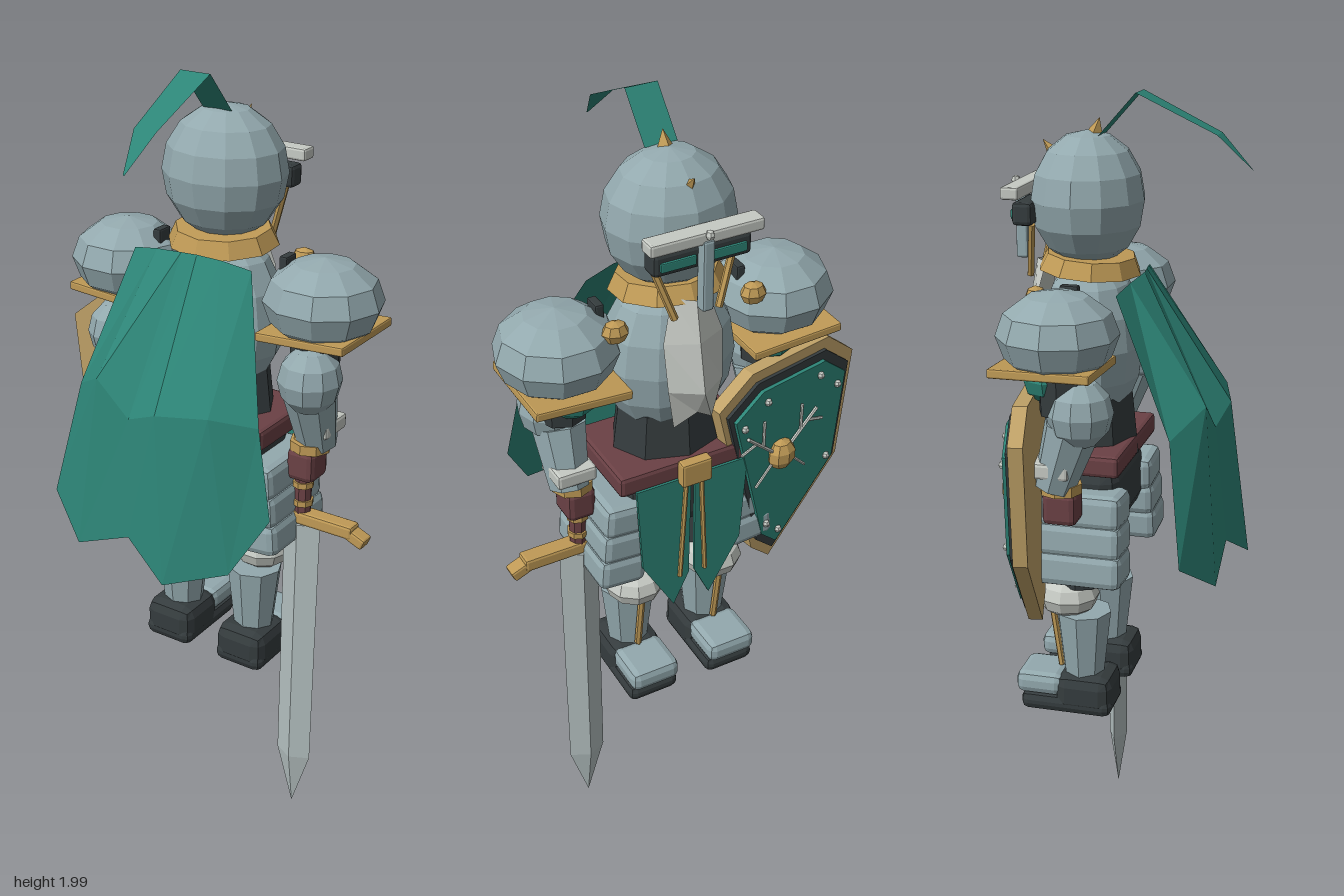
import * as THREE from 'three';
import { RoundedBoxGeometry } from 'three/addons/geometries/RoundedBoxGeometry.js';

const C = { steel: 0x93a9ae, gold: 0xbf9a56, dark: 0x353c3e, maroon: 0x6b4145, teal: 0x2d8577, pale: 0xc6cac4, blade: 0xb3bfbf, tan: 0xc0a268 };
const CX = 0.025, CZ = -0.1;

export function createModel() {
  const model = new THREE.Group();
  model.name = 'knight';

  const mats = {};
  const mat = (c, thin) => (mats[c + thin] ??= new THREE.MeshStandardMaterial({
    color: C[c], flatShading: true, side: thin ? THREE.DoubleSide : THREE.FrontSide }));
  const add = (name, geo, color, pos = [0, 0, 0], rot = [0, 0, 0], parent = model, thin = false) => {
    const m = new THREE.Mesh(geo, mat(color, thin));
    m.name = name;
    m.position.set(...pos);
    m.rotation.set(...rot);
    parent.add(m);
    return m;
  };
  const box = (w, h, d, r = Math.min(w, h, d) * 0.2) => new RoundedBoxGeometry(w, h, d, 1, r);
  const ball = (rx, ry, rz, n = 10, m = 6) => new THREE.SphereGeometry(1, n, m).scale(rx, ry, rz);
  const cyl = (r1, r2, h, n = 8) => new THREE.CylinderGeometry(r1, r2, h, n);
  // Thin rod between two points
  const rod = (name, a, b, r, color, parent = model) => {
    const va = new THREE.Vector3(...a), vb = new THREE.Vector3(...b), d = vb.clone().sub(va);
    const m = add(name, cyl(r, r, d.length(), 6), color, va.clone().add(vb).multiplyScalar(0.5).toArray(), [0, 0, 0], parent);
    m.quaternion.setFromUnitVectors(new THREE.Vector3(0, 1, 0), d.normalize());
  };
  // Folded sheet from rows of points
  const sheet = (rows) => {
    const n = rows[0].length, idx = [];
    for (let i = 0; i < rows.length - 1; i++)
      for (let j = 0; j < n - 1; j++) {
        const a = i * n + j, b = a + n;
        idx.push(a, b, a + 1, b, b + 1, a + 1);
      }
    const g = new THREE.BufferGeometry();
    g.setAttribute('position', new THREE.Float32BufferAttribute(rows.flat(2), 3));
    g.setIndex(idx);
    g.computeVertexNormals();
    return g;
  };
  const poly = (pts) => new THREE.Shape(pts.map((p) => new THREE.Vector2(...p)));
  const slab = (pts, depth) => new THREE.ExtrudeGeometry(poly(pts), { depth, bevelEnabled: false });

  // Helmet, crest and collar
  add('helmet', ball(0.155, 0.16, 0.138, 12, 8), 'steel', [CX, 1.75, CZ - 0.005]);
  add('crestSocket', new THREE.ConeGeometry(0.03, 0.06, 4), 'gold', [CX, 1.91, -0.085], [0.3, 0, 0]);
  add('browOrnament', new THREE.ConeGeometry(0.02, 0.05, 4), 'gold', [CX, 1.865, -0.2], [-0.7, 0, 0]);
  const plume = [[-0.07, 1.9, 0.04], [0.02, 2, 0.04], [0.21, 1.91, 0.03], [0.29, 1.83, 0.002]];
  add('plume', sheet(plume.map(([z, y, w]) => [[CX - w, y, z], [CX + w, y, z]])), 'teal', [0, 0, 0], [0, 0, 0], model, true);
  add('collar', cyl(0.12, 0.14, 0.04, 10).scale(1, 1, 0.9), 'gold', [CX, 1.6, CZ], [0.08, 0, 0]);

  // Visor
  add('visorBar', box(0.275, 0.03, 0.045), 'pale', [CX, 1.775, -0.258]);
  add('visorSlot', box(0.24, 0.055, 0.05), 'dark', [CX, 1.725, -0.235]);
  add('nosePiece', box(0.028, 0.17, 0.03), 'steel', [CX, 1.685, -0.27]);
  add('visorRivet', ball(0.01, 0.012, 0.012, 6, 4), 'pale', [CX, 1.785, -0.285]);
  for (const s of [-1, 1]) {
    add('lens', box(0.085, 0.022, 0.012), 'teal', [CX + s * 0.062, 1.722, -0.26]);
    rod('visorTrim', [CX + s * 0.1, 1.7, -0.215], [CX + s * 0.055, 1.57, -0.235], 0.009, 'gold');
  }

  // Torso and belt
  add('breastplate', ball(0.165, 0.21, 0.13, 12, 8), 'steel', [CX, 1.4, CZ]);
  add('waist', cyl(0.13, 0.15, 0.16, 8).scale(1, 1, 0.8), 'dark', [CX, 1.2, CZ]);
  add('throatGuard', sheet([[1.6, 0.045, -0.2, -0.235], [1.5, 0.075, -0.22, -0.255], [1.38, 0.07, -0.235, -0.28], [1.27, 0.05, -0.225, -0.245]]
    .map(([y, w, ze, zc]) => [[CX - w, y, ze], [CX, y + (y < 1.3 ? 0.04 : 0), zc], [CX + w, y, ze]])), 'pale', [0, 0, 0], [0, 0, 0], model, true);
  add('belt', box(0.38, 0.055, 0.245), 'maroon', [CX, 1.14, CZ - 0.005]);
  add('buckle', box(0.08, 0.065, 0.03), 'gold', [CX, 1.14, -0.24]);
  add('hips', box(0.3, 0.18, 0.2, 0.04), 'dark', [CX, 1.03, CZ]);

  // Cape with pleats
  add('cape', sheet([
    [[-0.155, 1.56, 0.01], [-0.08, 1.575, 0.025], [0, 1.585, 0.04], [0.04, 1.585, 0.035], [0.1, 1.58, 0.025], [0.175, 1.565, 0.01]],
    [[-0.22, 1.24, 0.155], [-0.12, 1.3, 0.22], [-0.025, 1.22, 0.225], [0.065, 1.26, 0.245], [0.19, 1.27, 0.21], [0.29, 1.25, 0.15]],
    [[-0.28, 0.945, 0.195], [-0.16, 0.86, 0.26], [-0.01, 0.92, 0.255], [0.115, 0.845, 0.29], [0.26, 0.89, 0.225], [0.335, 1.03, 0.165]],
  ]), 'teal', [0, 0, 0], [0, 0, 0], model, true);

  for (const s of [-1, 1]) {
    const at = (d, y, z) => [CX + s * d, y, z];
    // Shoulder
    add('pauldron', ball(0.145, 0.105, 0.143, 10, 6), 'steel', at(0.28, 1.487, CZ));
    add('pauldronPlate', box(0.235, 0.022, 0.24), 'gold', at(0.275, 1.41, CZ - 0.015), [0, 0, s * 0.06]);
    add('shoulderStrap', box(0.022, 0.06, 0.045), 'dark', at(0.18, 1.55, CZ));
    add('shoulderStud', ball(0.033, 0.028, 0.026, 8, 4), 'gold', at(0.175, 1.545, -0.185));
    // Arm
    add('upperArm', cyl(0.065, 0.06, 0.14), 'dark', at(0.27, 1.37, -0.09));
    add('sleeve', ball(0.068, 0.06, 0.07, 8, 6), 'teal', at(0.26, 1.38, -0.125));
    add('elbow', ball(0.078, 0.085, 0.08, 10, 6), 'steel', at(0.28, 1.305, -0.05));
    add('forearm', cyl(0.068, 0.05, 0.16), 'steel', at(0.27, 1.19, -0.095), [0.3, 0, 0]);
    add('cuff', box(0.1, 0.04, 0.1), 'pale', at(0.27, 1.165, -0.12));
    add('wristBand', cyl(0.052, 0.052, 0.025), 'gold', at(0.258, 1.11, -0.105));
    add('glove', box(0.075, 0.085, 0.085), 'maroon', at(0.25, 1.06, -0.105));
    // Hip plates
    for (let i = 0; i < 3; i++)
      add('hipPlate', box(0.125, 0.088, 0.245 + i * 0.006, 0.02), 'steel', at(0.16 + i * 0.01, 1.025 - i * 0.073, -0.095), [0, 0, s * 0.08]);
    // Tabard flap with gold trim
    const flap = [[0.005, 1.12], [0.15, 1.12], [0.135, 0.88], [0.05, 0.73], [0.008, 0.82]].map(([x, y]) => [s * x, y]);
    add('tabard', slab(flap, 0.008), 'teal', [CX, 0, -0.232], [0, 0, 0], model, true);
    rod('tabardTrim', at(0.02, 1.12, -0.236), at(0.035, 0.82, -0.236), 0.006, 'gold');
    // Leg
    add('thigh', cyl(0.07, 0.058, 0.2), 'dark', at(0.112, 0.9, CZ));
    add('knee', ball(0.078, 0.058, 0.08, 10, 6), 'pale', at(0.112, 0.765, -0.135));
    add('greave', cyl(0.072, 0.052, 0.18), 'steel', at(0.112, 0.635, CZ + 0.005));
    rod('greaveRidge', at(0.112, 0.72, -0.177), at(0.112, 0.56, -0.155), 0.009, 'gold');
    // Boot
    add('boot', box(0.142, 0.105, 0.15, 0.03), 'dark', at(0.112, 0.505, -0.085));
    add('sole', box(0.14, 0.05, 0.24, 0.02), 'dark', at(0.112, 0.475, -0.13));
    add('toeCap', box(0.135, 0.06, 0.125, 0.02), 'steel', at(0.112, 0.525, -0.2));
  }

  // Sword, point down
  const sword = new THREE.Group();
  sword.name = 'sword';
  sword.position.set(0.27, 0, CZ);
  model.add(sword);
  const blade = cyl(0.052, 0.05, 0.72, 4).scale(1, 1, 0.5);
  add('blade', blade, 'blade', [0, 0.53, 0], [0, 0, 0], sword);
  add('bladeTip', cyl(0.05, 0.001, 0.162, 4).scale(1, 1, 0.5), 'blade', [0, 0.09, 0], [0, 0, 0], sword);
  add('guard', box(0.3, 0.035, 0.045), 'gold', [0, 0.908, 0], [0, 0, 0], sword);
  for (const s of [-1, 1])
    add('guardTip', box(0.055, 0.03, 0.04), 'gold', [s * 0.157, 0.895, 0], [0, 0, -s * 0.4], sword);
  add('grip', cyl(0.022, 0.022, 0.14), 'maroon', [0, 0.97, 0], [0, 0, 0], sword);
  for (const y of [0.95, 1.0]) add('gripRing', cyl(0.027, 0.027, 0.015), 'gold', [0, y, 0], [0, 0, 0], sword);
  add('pommel', ball(0.03, 0.03, 0.03, 8, 5), 'gold', [0, 1.13, 0], [0, 0, 0], sword);

  // Shield: stacked layers, smaller toward its face
  const shield = new THREE.Group();
  shield.name = 'shield';
  shield.position.set(-0.25, 1.07, -0.185);
  shield.rotation.y = 0.17;
  model.add(shield);
  const rim = [[-0.215, 0.21], [-0.13, 0.28], [0.11, 0.27], [0.21, 0.2], [0.09, -0.27], [0.03, -0.325], [-0.185, -0.09]];
  const scaled = (k) => rim.map(([x, y]) => [x * k, y * k]);
  add('shieldBack', slab(rim, 0.035), 'tan', [0, 0, -0.008], [0, 0, 0], shield);
  add('shieldInset', slab(scaled(0.9), 0.01), 'dark', [0, 0, -0.017], [0, 0, 0], shield);
  add('shieldFace', slab(scaled(0.82), 0.012), 'teal', [0, 0, -0.027], [0, 0, 0], shield);
  add('shieldBoss', ball(0.04, 0.042, 0.03, 8, 5), 'gold', [0.03, 0.02, -0.035], [0, 0, 0], shield);
  for (const [x, y] of scaled(0.7)) add('shieldRivet', ball(0.01, 0.01, 0.01, 6, 4), 'pale', [x, y, -0.03], [0, 0, 0], shield);
  // Branching ornament around the boss
  for (const s of [-1, 1]) {
    const p = (x, y) => [0.03 + s * x, 0.02 + y, -0.035];
    rod('branch', p(0.02, 0.01), p(0.11, 0.09), 0.005, 'pale', shield);
    rod('branch', p(0.06, 0.045), p(0.06, 0.12), 0.004, 'pale', shield);
    rod('branch', p(0.08, 0.065), p(0.13, 0.05), 0.004, 'pale', shield);
    rod('branch', p(0.02, -0.01), p(0.08, -0.07), 0.004, 'pale', shield);
  }
  return model;
}
